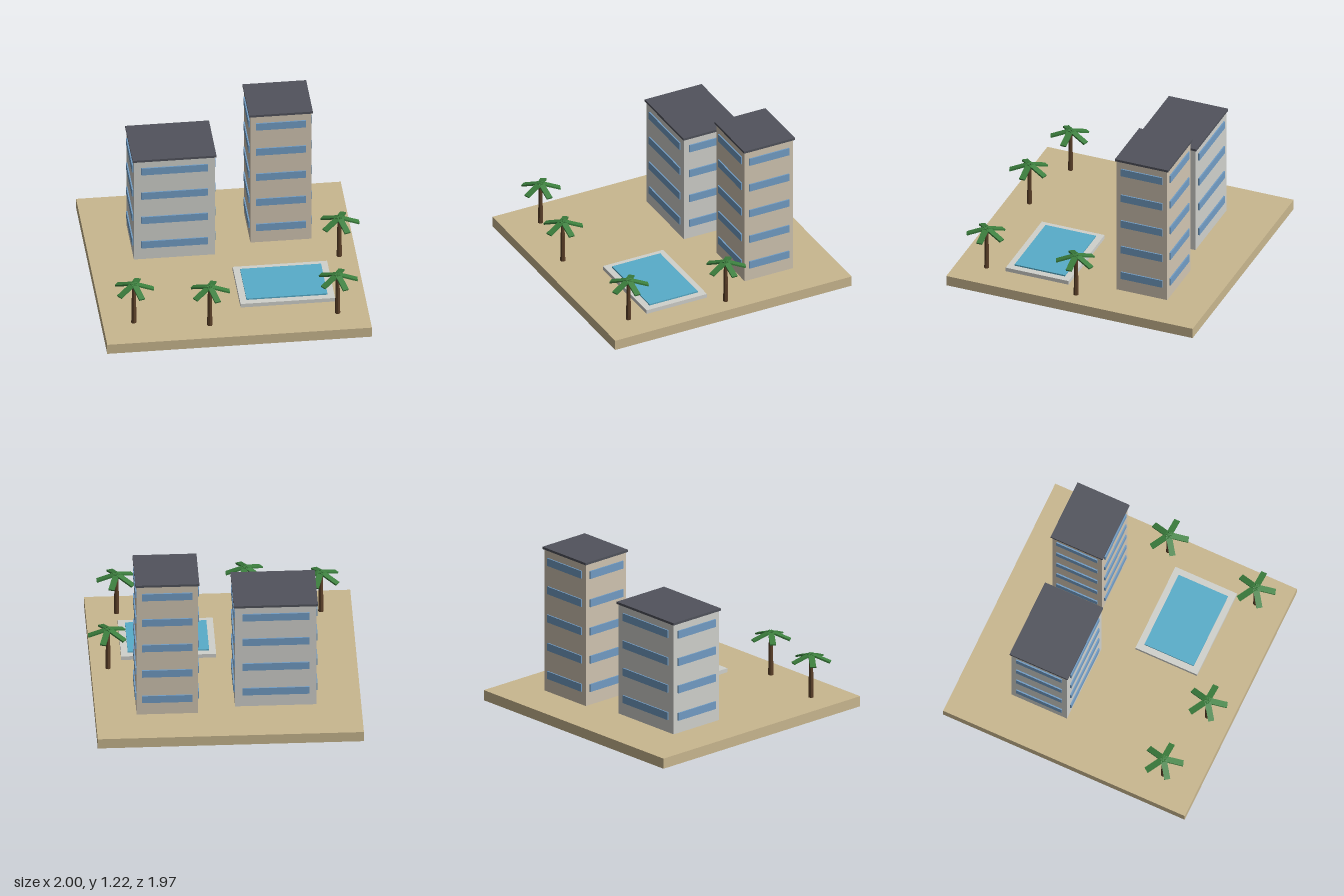
import * as THREE from 'three';

const mat = (color) => new THREE.MeshStandardMaterial({ color, flatShading: true });
const M = {
  sand: mat(0xc9b78f), grey: mat(0xd0d1cc), beige: mat(0xd1c5b2), roof: mat(0x51535c),
  glass: mat(0x729dc5), deck: mat(0xd0d1cc), water: mat(0x58adca), trunk: mat(0x5c4029), leaf: mat(0x3c803e),
};
const GROUND = 0.08;

// Box given by its extents on each axis
function box(name, material, [x0, x1], [y0, y1], [z0, z1]) {
  const mesh = new THREE.Mesh(new THREE.BoxGeometry(x1 - x0, y1 - y0, z1 - z0), material);
  mesh.position.set((x0 + x1) / 2, (y0 + y1) / 2, (z0 + z1) / 2);
  mesh.name = name;
  return mesh;
}

// Block with a flat roof slab and a window band on every side of each floor
function building(name, wall, cx, cz, w, d, h, floors) {
  const g = new THREE.Group();
  g.name = name;
  g.position.set(cx, GROUND, cz);
  g.add(box('walls', wall, [-w / 2, w / 2], [0, h], [-d / 2, d / 2]));
  const rw = w / 2 + 0.01, rd = d / 2 + 0.01;
  g.add(box('roof', M.roof, [-rw, rw], [h, h + 0.018], [-rd, rd]));
  const step = h / floors, a = w * 0.41, b = d * 0.41;
  for (let i = 0; i < floors; i++) {
    const y = (i + 0.6) * step, ys = [y - 0.03, y + 0.03];
    for (const s of [-1, 1]) {
      const front = box('windowBand', M.glass, [-a, a], ys, [-0.01, 0.01]);
      front.position.z = s * d / 2;
      const side = box('windowBand', M.glass, [-0.01, 0.01], ys, [-b, b]);
      side.position.x = s * w / 2;
      g.add(front, side);
    }
  }
  return g;
}

// Tapered trunk with five drooping fronds
function palm(x, z) {
  const g = new THREE.Group();
  g.name = 'palmTree';
  g.position.set(x, GROUND, z);
  const trunk = new THREE.Mesh(new THREE.CylinderGeometry(0.014, 0.02, 0.325, 8), M.trunk);
  trunk.position.y = 0.1625;
  trunk.name = 'trunk';
  g.add(trunk);
  for (let i = 0; i < 5; i++) {
    const pivot = new THREE.Group();
    pivot.rotation.y = i * Math.PI * 2 / 5;
    const frond = new THREE.Mesh(new THREE.BoxGeometry(0.16, 0.013, 0.045), M.leaf);
    frond.position.set(0.072, 0.315, 0);
    frond.rotation.z = -0.35;
    frond.name = 'frond';
    pivot.add(frond);
    g.add(pivot);
  }
  return g;
}

export function createModel() {
  const model = new THREE.Group();
  model.name = 'resort';
  model.add(box('ground', M.sand, [-1, 0.975], [0, GROUND], [-0.988, 0.985]));

  model.add(building('wideBlock', M.grey, -0.367, -0.357, 0.605, 0.455, 0.865, 4));
  model.add(building('tower', M.beige, 0.442, -0.457, 0.455, 0.405, 1.117, 5));

  // Pool
  model.add(box('poolDeck', M.deck, [0.04, 0.745], [GROUND, 0.111], [0.1, 0.603]));
  model.add(box('poolWater', M.water, [0.09, 0.694], [0.09, 0.122], [0.15, 0.553]));

  for (const [x, z] of [[-0.768, 0.704], [-0.214, 0.806], [0.746, 0.755], [0.848, -0.003]]) model.add(palm(x, z));
  return model;
}
